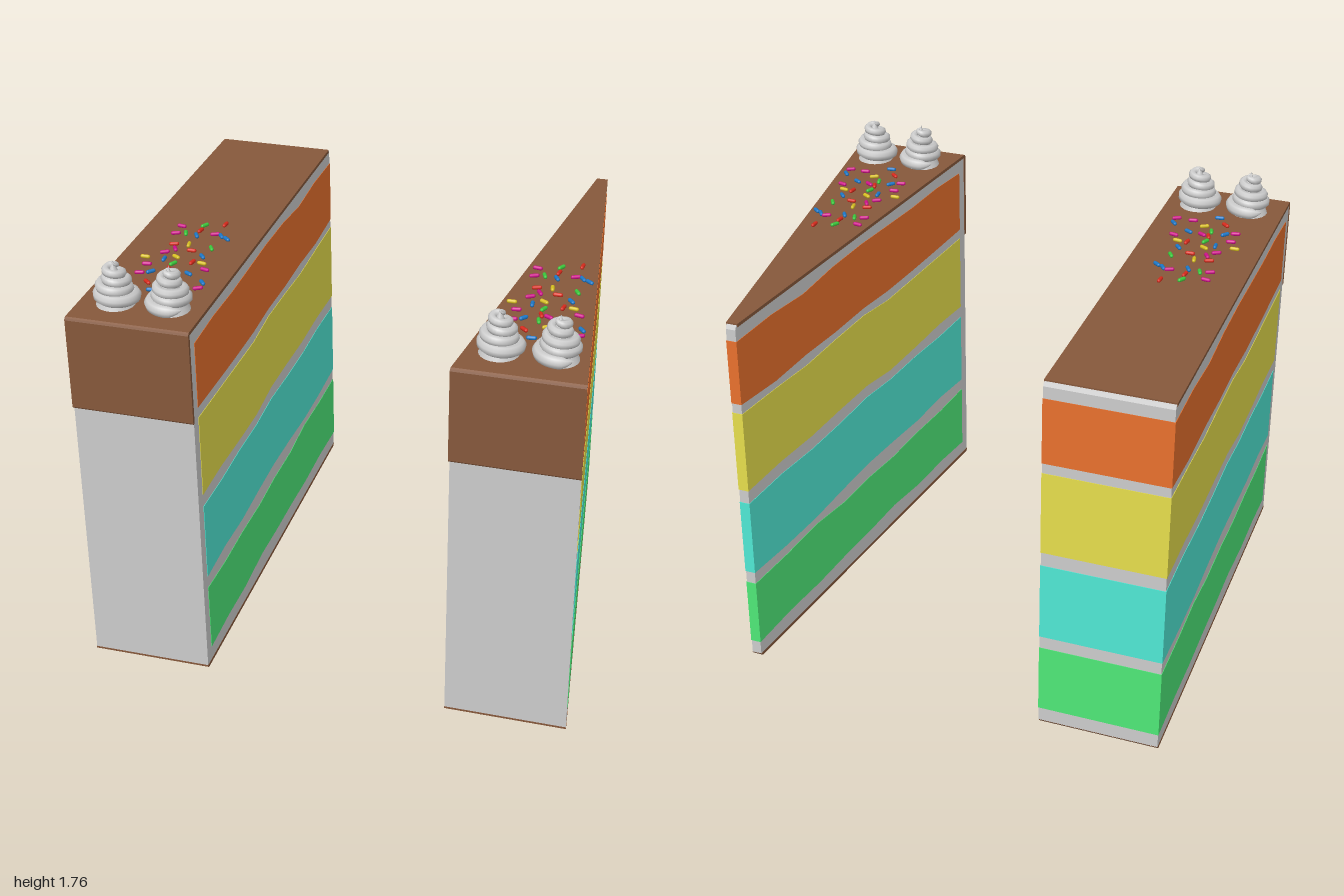
import * as THREE from 'three';

const material = (color) => new THREE.MeshStandardMaterial({ color });
const GREY = material(0xcccccc);
const BROWN = material(0x86583b);

// Half the width of each slice at depth z
const straight = () => 0.247;
const wedge = (z) => 0.02 + 0.227 * (z + 0.918) / 1.823;

// Upper and lower wavy edges of the sponge layers (thousandths), front to back
const LAYER_Z = [0.86, 0.65, 0.43, 0.2, 0, -0.23, -0.45, -0.68, -0.92];
const LAYERS = [
  { name: 'orangeSponge', color: 0xe8702d,
    top: [1505, 1515, 1510, 1515, 1520, 1515, 1495, 1510, 1505],
    bottom: [1225, 1218, 1212, 1210, 1220, 1215, 1220, 1212, 1228] },
  { name: 'yellowSponge', color: 0xe6de4c,
    top: [1180, 1175, 1170, 1165, 1185, 1180, 1170, 1180, 1185],
    bottom: [825, 830, 820, 815, 838, 835, 828, 835, 828] },
  { name: 'tealSponge', color: 0x50e8d4,
    top: [770, 765, 772, 768, 782, 770, 765, 775, 768],
    bottom: [430, 440, 430, 440, 445, 435, 420, 420, 430] },
  { name: 'greenSponge', color: 0x4ee878,
    top: [375, 365, 368, 360, 370, 365, 385, 375, 375],
    bottom: [75, 85, 80, 98, 90, 88, 80, 85, 75] },
];

// Sprinkles by colour: offset x, z (hundredths) and turn (degrees)
const SPRINKLES = [
  { color: 0xd0108c, spots: [[-10, 5, -10], [6, 9, 25], [-10, 12, 25], [-5, 26, -60], [-8, 30, 30],
    [13, 41, -15], [-11, 42, 10], [2, 45, -30], [-11, 50, 15], [9, 57, 10], [16, 57, 30]] },
  { color: 0x1c78c8, spots: [[9, 10, -55], [12, 12, -40], [-1, 12, -60], [8, 30, -50], [-6, 36, -85],
    [8, 46, -30], [-7, 48, 50], [16, 52, -50], [-1, 63, 5]] },
  { color: 0xd82a1c, spots: [[7, -1, 85], [-1, 7, 80], [-7, 22, 20], [2, 26, 0], [6, 36, 80],
    [-1, 44, -70], [-5, 57, -40]] },
  { color: 0x3cc83c, spots: [[-1, 2, 60], [-6, 11, -70], [9, 22, -60], [-1, 39, 65], [-1, 49, -75]] },
  { color: 0xd8c020, spots: [[-1, 21, -80], [-2, 33, -30], [-14, 36, 0], [10, 36, -10], [3, 53, 30]] },
];

// Side profile of [z, y] points, spread across the slice to its width
function profilePart(name, points, halfWidth, pad, mat) {
  const shape = new THREE.Shape(points.map(([z, y]) => new THREE.Vector2(z, y)));
  const geometry = new THREE.ExtrudeGeometry(shape, { depth: 2, bevelEnabled: false });
  geometry.translate(0, 0, -1).rotateY(-Math.PI / 2);
  const p = geometry.attributes.position;
  for (let i = 0; i < p.count; i++) p.setX(i, p.getX(i) * (halfWidth(p.getZ(i)) + pad));
  geometry.computeVertexNormals();
  const mesh = new THREE.Mesh(geometry, mat);
  mesh.name = name;
  return mesh;
}

// Piped swirl: a spiral tube that narrows towards its tip, around a filling core
function creamSwirl(x, z, turn) {
  const swirl = new THREE.Group();
  swirl.name = 'creamSwirl';
  const turns = 5, steps = 130, sides = 8;
  const points = [];
  for (let i = 0; i <= 80; i++) {
    const t = i / 80, a = t * turns * Math.PI * 2;
    const r = 0.073 * Math.pow(1 - t, 0.75) + 0.006 * Math.sin(a * 0.6);
    points.push(new THREE.Vector3(Math.cos(a) * r, 0.022 + 0.162 * t, Math.sin(a) * r));
  }
  const path = new THREE.CatmullRomCurve3(points);
  const geometry = new THREE.TubeGeometry(path, steps, 1, sides);
  const p = geometry.attributes.position, v = new THREE.Vector3();
  for (let i = 0; i <= steps; i++) {
    const t = i / steps, centre = path.getPointAt(t);
    const r = Math.min(1, t * 25, (1 - t) * 20) * (0.026 - 0.01 * t);
    for (let j = 0; j <= sides; j++) {
      const k = i * (sides + 1) + j;
      v.fromBufferAttribute(p, k).sub(centre).multiplyScalar(r).add(centre);
      p.setXYZ(k, v.x, v.y, v.z);
    }
  }
  const piping = new THREE.Mesh(geometry, GREY);
  piping.name = 'piping';
  const core = new THREE.Mesh(new THREE.ConeGeometry(0.078, 0.18, 20), GREY);
  core.name = 'core';
  core.position.y = 0.09;
  swirl.add(piping, core);
  swirl.position.set(x, 1.575, z);
  swirl.rotation.y = turn;
  return swirl;
}

function sprinkles() {
  const group = new THREE.Group();
  group.name = 'sprinkles';
  const grain = new THREE.CapsuleGeometry(0.008, 0.025, 3, 8).rotateZ(Math.PI / 2);
  for (const { color, spots } of SPRINKLES) {
    const mat = material(color);
    for (const [x, z, turn] of spots) {
      const mesh = new THREE.Mesh(grain, mat);
      mesh.name = 'sprinkle';
      mesh.position.set(x / 100, 1.585, z / 100);
      mesh.rotation.y = THREE.MathUtils.degToRad(turn);
      group.add(mesh);
    }
  }
  return group;
}

function cakeSlice(name, x, halfWidth) {
  const slice = new THREE.Group();
  slice.name = name;
  // Cream body with a chamfered back top edge
  slice.add(profilePart('creamBody', [[-0.918, 0.012], [0.908, 0.012], [0.908, 1.566],
    [-0.902, 1.572], [-0.912, 1.568], [-0.918, 1.555]], halfWidth, 0, GREY));
  // Chocolate icing over the top and partly down the front
  slice.add(profilePart('icing', [[-0.905, 1.563], [0.906, 1.563], [0.906, 1.18], [0.916, 1.18], [0.92, 1.186],
    [0.92, 1.565], [0.917, 1.573], [0.91, 1.577], [-0.905, 1.577]], halfWidth, 0.002, BROWN));
  slice.add(profilePart('base', [[-0.908, 0], [0.902, 0], [0.909, 0.006], [0.909, 0.014],
    [-0.919, 0.014]], halfWidth, 0.001, BROWN));
  // Sponge layers
  for (const { name, color, top, bottom } of LAYERS) {
    const upper = LAYER_Z.map((z, i) => [z, top[i] / 1000]);
    const lower = LAYER_Z.map((z, i) => [z, bottom[i] / 1000]).reverse();
    slice.add(profilePart(name, [...upper, ...lower], halfWidth, 0.002, material(color)));
  }
  // Toppings
  slice.add(creamSwirl(-0.105, 0.755, 2.6), creamSwirl(0.115, 0.745, -0.6), sprinkles());
  slice.position.x = x;
  return slice;
}

export function createModel() {
  const model = new THREE.Group();
  model.name = 'cakeSlices';
  model.add(cakeSlice('rectangularSlice', -0.75, straight), cakeSlice('wedgeSlice', 0.75, wedge));
  return model;
}
